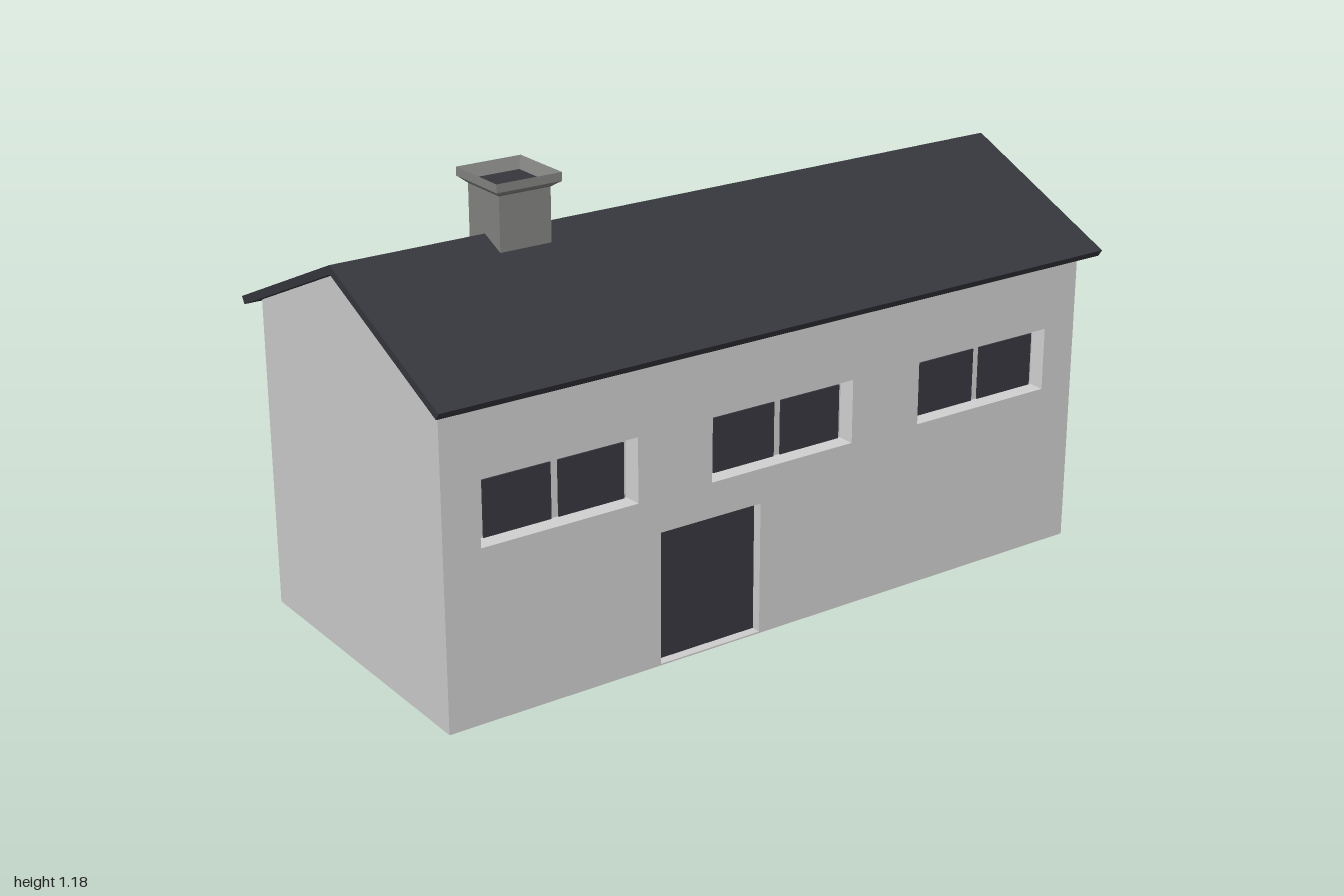
import * as THREE from 'three';

const mat = (name, color, side = THREE.FrontSide) => {
  const m = new THREE.MeshStandardMaterial({ color, side });
  m.name = name;
  return m;
};

// Flat-sided loft through level rectangles [halfWidth, halfDepth, height]
function loftRects(rings) {
  const pos = [];
  const corners = ([w, d, y]) => [[-w, y, d], [w, y, d], [w, y, -d], [-w, y, -d]];
  for (let i = 0; i < rings.length - 1; i++) {
    const lo = corners(rings[i]), hi = corners(rings[i + 1]);
    for (let k = 0; k < 4; k++) {
      const n = (k + 1) % 4;
      pos.push(...lo[k], ...lo[n], ...hi[n], ...lo[k], ...hi[n], ...hi[k]);
    }
  }
  const g = new THREE.BufferGeometry();
  g.setAttribute('position', new THREE.Float32BufferAttribute(pos, 3));
  g.computeVertexNormals();
  return g;
}

const polygon = (pts) => new THREE.Shape(pts.map(([x, y]) => new THREE.Vector2(x, y)));
const rectPath = (x0, x1, y0, y1) => new THREE.Path(
  [[x0, y0], [x0, y1], [x1, y1], [x1, y0]].map(([x, y]) => new THREE.Vector2(x, y)));

// Extrude a (z, y) profile along x from x0 to x1
function extrudeAlongX(pts, x0, x1) {
  const g = new THREE.ExtrudeGeometry(polygon(pts.map(([z, y]) => [-z, y])), { depth: x1 - x0, bevelEnabled: false });
  return g.rotateY(Math.PI / 2).translate(x0, 0, 0);
}

export function createModel() {
  const house = new THREE.Group();
  house.name = 'house';
  const wall = mat('wall grey', 0xcccccc, THREE.DoubleSide);
  const roofDark = mat('roof slate', 0x35363c);
  const dark = mat('door and glass', 0x36353d);
  const stone = mat('chimney grey', 0x828281, THREE.DoubleSide);

  const add = (name, geometry, material, parent = house) => {
    const m = new THREE.Mesh(geometry, material);
    m.name = name;
    parent.add(m);
    return m;
  };
  const box = (name, x0, x1, y0, y1, z0, z1, material, parent) => {
    const g = new THREE.BoxGeometry(x1 - x0, y1 - y0, z1 - z0);
    g.translate((x0 + x1) / 2, (y0 + y1) / 2, (z0 + z1) / 2);
    return add(name, g, material, parent);
  };

  const X0 = -0.972, X1 = 0.965, front = 0.43, inner = 0.4;
  const apex = 1.013, slope = 0.433;
  const under = (z) => apex - slope * Math.abs(z);

  // Gabled body, ending at the back of the front wall recesses
  add('body', extrudeAlongX([
    [inner, 0], [inner, under(inner)], [0, apex], [-front, under(front)], [-front, 0],
  ], X0, X1), wall);

  // Front wall with openings, its top sloped to meet the roof
  const windowsX = [-0.655, -0.005, 0.645];
  const winW = 0.217, winY0 = 0.449, winY1 = 0.619;
  const winY = (winY0 + winY1) / 2, winH = (winY1 - winY0) / 2;
  const top = under(front);
  const facade = polygon([
    [X0, 0], [-0.374, 0], [-0.374, 0.356], [-0.074, 0.356], [-0.074, 0], [X1, 0], [X1, top], [X0, top],
  ]);
  for (const x of windowsX) facade.holes.push(rectPath(x - winW, x + winW, winY0, winY1));
  const facadeGeo = new THREE.ExtrudeGeometry(facade, { depth: front - inner, bevelEnabled: false });
  const p = facadeGeo.attributes.position;
  for (let i = 0; i < p.count; i++) {
    if (p.getY(i) > top - 0.001 && p.getZ(i) < 0.001) p.setY(i, under(inner));
  }
  facadeGeo.translate(0, 0, inner);
  facadeGeo.computeVertexNormals();
  add('frontWall', facadeGeo, wall);

  // Door panel and threshold
  box('door', -0.374, -0.074, 0.004, 0.356, inner, inner + 0.004, dark);
  box('threshold', -0.374, -0.074, 0, 0.004, inner, front, wall);

  // Windows: splayed reveal and two panes
  for (const x of windowsX) {
    const win = new THREE.Group();
    win.name = 'window';
    win.position.set(x, winY, 0);
    house.add(win);
    const reveal = loftRects([[winW, winH, front], [winW - 0.016, winH - 0.01, inner]]);
    add('reveal', reveal.rotateX(Math.PI / 2), wall, win);
    for (const s of [-1, 1]) {
      const a = s * 0.01, b = s * 0.194;
      box('pane', Math.min(a, b), Math.max(a, b), -0.075, 0.069, inner, inner + 0.004, dark, win);
    }
  }

  // Roof slab with overhanging eaves
  add('roof', extrudeAlongX([
    [0.473, 0.807], [0.485, 0.825], [0, 1.036], [-0.485, 0.825], [-0.473, 0.807], [0, apex],
  ], -1, 1), roofDark);

  // Chimney: shaft, flared hollow cap and dark flue
  const chimney = new THREE.Group();
  chimney.name = 'chimney';
  chimney.position.set(-0.512, 0, -0.001);
  house.add(chimney);
  box('shaft', -0.072, 0.072, 0.97, 1.145, -0.071, 0.071, stone, chimney);
  add('cap', loftRects([
    [0.072, 0.071, 1.145], [0.091, 0.093, 1.161], [0.091, 0.093, 1.183], [0.076, 0.077, 1.152],
  ]), stone, chimney);
  box('flue', -0.076, 0.076, 1.149, 1.153, -0.077, 0.077, dark, chimney);

  return house;
}
